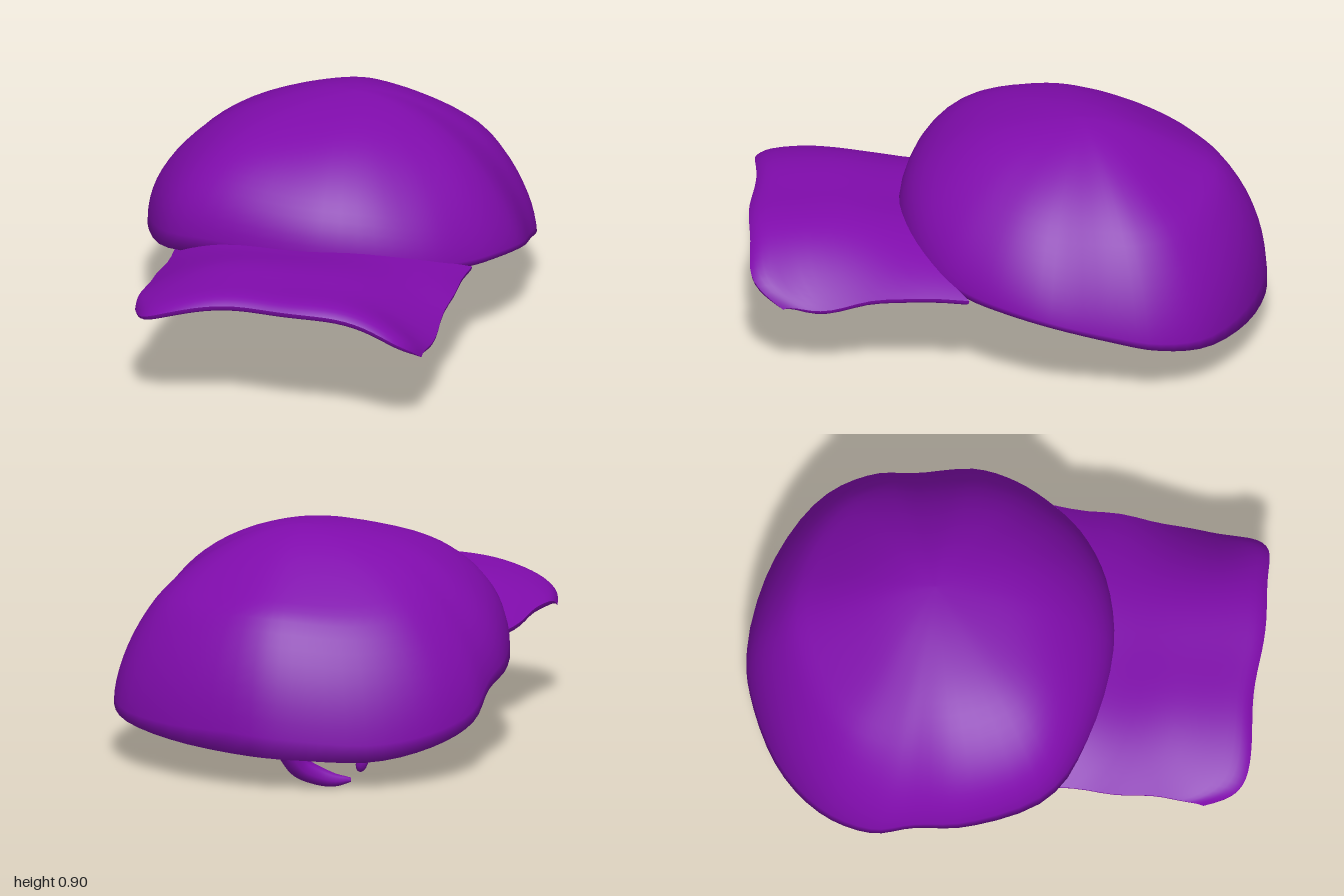
import * as THREE from 'three';

// Indexed grid surface from fn(row, col) -> [x, y, z]; columns may wrap round
function gridSurface(rows, cols, wrap, fn) {
  const pos = [], index = [];
  for (let i = 0; i < rows; i++) for (let j = 0; j < cols; j++) pos.push(...fn(i, j));
  const last = wrap ? cols : cols - 1;
  for (let i = 0; i < rows - 1; i++) {
    for (let j = 0; j < last; j++) {
      const a = i * cols + j, b = i * cols + (j + 1) % cols;
      index.push(a, a + cols, b, b, a + cols, b + cols);
    }
  }
  const g = new THREE.BufferGeometry();
  g.setAttribute('position', new THREE.Float32BufferAttribute(pos, 3));
  g.setIndex(index);
  g.computeVertexNormals();
  return g;
}

const ripple = (x, z) => Math.sin(x * 9 + z * 5) * Math.cos(z * 8 - x * 4);

// Uneven lower edge of the crown: front, left side, back, right side
const rim = new THREE.CatmullRomCurve3([
  [0.03, 0.46, 0.42], [0.3, 0.45, 0.36], [0.5, 0.41, 0.24], [0.62, 0.385, 0.1],
  [0.7, 0.37, -0.05], [0.74, 0.34, -0.22], [0.71, 0.27, -0.45], [0.69, 0.23, -0.62],
  [0.58, 0.19, -0.8], [0.3, 0.16, -0.95], [-0.05, 0.14, -1], [-0.25, 0.13, -0.95],
  [-0.5, 0.12, -0.81], [-0.67, 0.16, -0.62], [-0.74, 0.22, -0.42], [-0.73, 0.31, -0.26],
  [-0.71, 0.35, -0.05], [-0.57, 0.39, 0.24], [-0.33, 0.44, 0.37],
].map(p => new THREE.Vector3(...p)), true);

// Hollow dome: outer wall from apex to rim, then inner wall back to the apex
function crownGeometry() {
  const cols = 72, outer = 22, inner = 20;
  const edge = Array.from({ length: cols }, (_, j) => rim.getPoint(j / cols));
  const apex = new THREE.Vector3(0.05, 0.9, -0.28);
  return gridSurface(outer + inner, cols, true, (i, j) => {
    const out = i < outer;
    const t = out ? i / (outer - 1) : (outer + inner - 1 - i) / (inner - 1);
    const k = out ? 1 : 0.92;
    const e = edge[j], dx = e.x - apex.x, dz = e.z - apex.z;
    const left = Math.max(0, dx / 0.7), right = Math.max(0, -dx / 0.78);
    const front = Math.max(0, dz / 0.7), back = Math.max(0, -dz / 0.72);
    // Higher powers flatten that side of the dome, lower ones fill it out
    const power = 1 - 0.1 * front + 0.33 * left + 0.1 * right - 0.35 * front * right
      + back * (1.6 * Math.max(0, 0.55 - t) - 0.15);
    const r = Math.sin(t * Math.PI / 2) * k;
    const h = Math.pow(Math.max(0, Math.cos(t * Math.PI / 2)), power);
    const x = apex.x + dx * r, z = apex.z + dz * r;
    const lump = ripple(x, z) * (out ? 0.005 : 0.012) * Math.sin(t * Math.PI);
    return [x, e.y + (apex.y - e.y) * h * k + lump, z];
  });
}

// Arched peak: top sheet from crown to front edge, then underside back again
function visorGeometry() {
  const cols = 41, half = 18;
  return gridSurface(half * 2, cols, false, (i, j) => {
    const u = Math.sin((j / (cols - 1) - 0.5) * Math.PI);
    const top = i < half;
    const v = Math.sin((top ? i : half * 2 - 1 - i) / (half - 1) * Math.PI / 2);
    const x = 0.055 + u * 0.57;
    const back = -0.28 + 0.67 * Math.sqrt(1 - (x / 0.76) ** 2);
    const front = 0.98 - 0.015 * u - 0.15 * Math.abs(u) ** 14 + 0.008 * Math.sin(u * 7);
    const z = back + (front - back) * v;
    // The left corner droops lower than the right
    const sag = u > 0 ? 0.13 + 0.1 * Math.exp(-(((z - 0.7) / 0.2) ** 2)) : 0.125;
    const mid = 0.515 + 0.035 * THREE.MathUtils.smoothstep(z, 0.35, 0.7) - 0.035 * v ** 20;
    const y = mid - sag * Math.abs(u) ** 3 + 0.005 * ripple(x, z);
    const thick = 0.065 * Math.sqrt(1 - Math.abs(u) ** 12) * Math.sqrt(Math.max(0, 1 - v ** 16));
    return [x + 0.004 * Math.sin(z * 22) * u * u, top ? y : y - thick, z];
  });
}

export function createModel() {
  const cap = new THREE.Group();
  cap.name = 'cap';
  const purple = new THREE.MeshStandardMaterial({ color: 0x800cac, side: THREE.DoubleSide });
  purple.name = 'purple cloth';
  const add = (geometry, name) => {
    const mesh = new THREE.Mesh(geometry, purple);
    mesh.name = name;
    cap.add(mesh);
    return mesh;
  };

  add(crownGeometry(), 'crown');
  add(visorGeometry(), 'visor');

  // Ragged strap hanging below the back rim, tapering to its free end
  const strapPath = new THREE.CatmullRomCurve3([
    [-0.18, 0.15, -0.91], [-0.21, 0.085, -0.87], [-0.26, 0.05, -0.83],
    [-0.32, 0.03, -0.8], [-0.38, 0.03, -0.77],
  ].map(p => new THREE.Vector3(...p)));
  const strap = new THREE.TubeGeometry(strapPath, 20, 0.043, 8);
  const p = strap.attributes.position;
  for (let i = 0; i < p.count; i++) {
    const along = Math.floor(i / 9) / 20;
    const c = strapPath.getPointAt(along), k = 1 - 0.8 * along ** 3;
    p.setXYZ(i, c.x + (p.getX(i) - c.x) * k, c.y + (p.getY(i) - c.y) * k, c.z + (p.getZ(i) - c.z) * k);
  }
  strap.computeVertexNormals();
  add(strap, 'back strap');

  // Loose scrap of the strap end
  const scrap = add(new THREE.SphereGeometry(0.03, 10, 8), 'strap end');
  scrap.scale.set(0.8, 1.4, 0.8);
  scrap.position.set(-0.41, 0.095, -0.73);
  scrap.rotation.z = 0.3;

  return cap;
}
